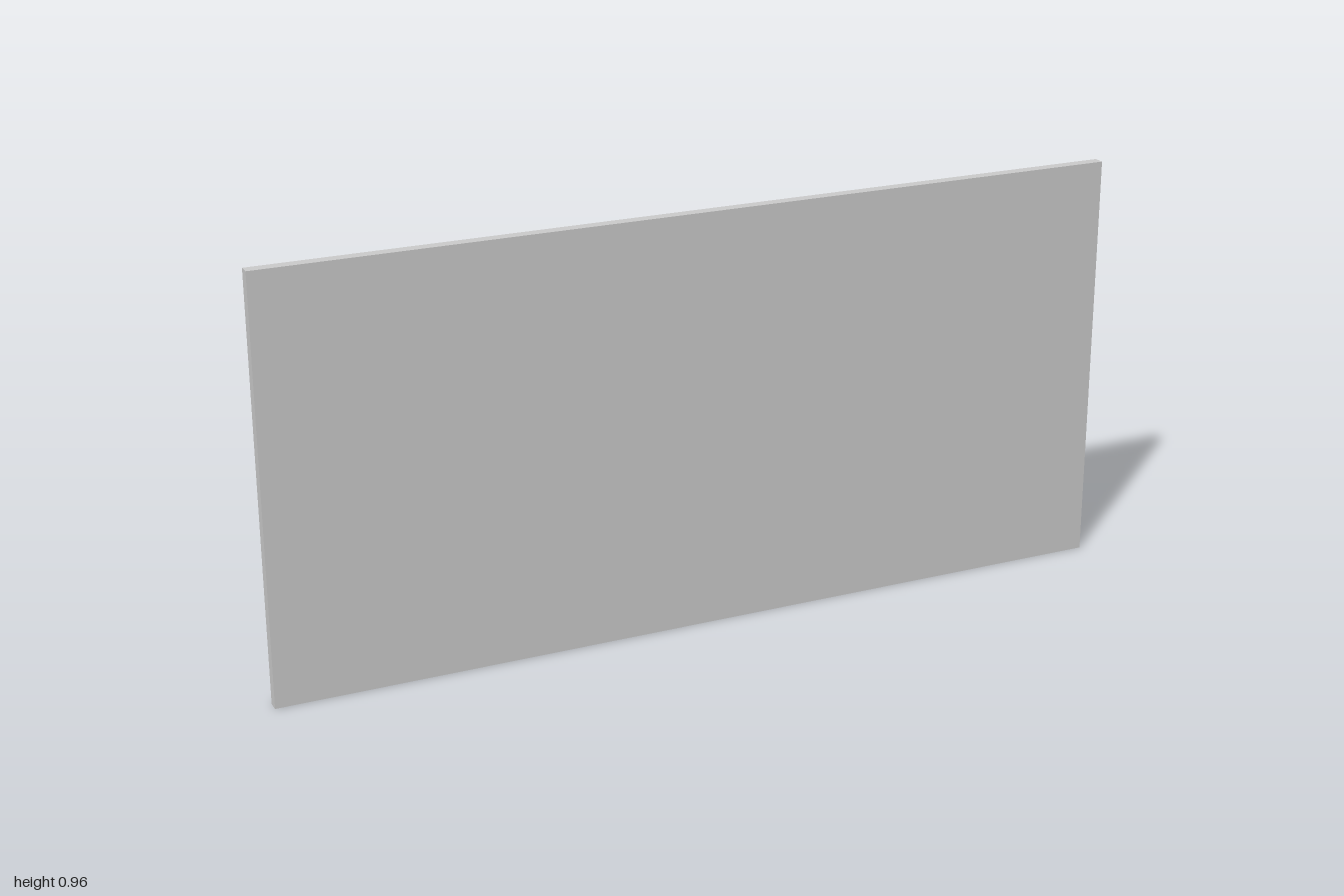
import * as THREE from 'three';

const mat = new THREE.MeshStandardMaterial({ color: 0xcccccc, flatShading: true });

const W = 2, H = 0.96;
const FRONT = 0.027, BACK = 0.001, POCKET = 0.012;
const FLOOR = BACK + POCKET; // z of the pocket floors

// Closed polygon from a list of [x, y] corners
const poly = (pts, Type = THREE.Shape) => new Type(pts.map(([x, y]) => new THREE.Vector2(x, y)));

// Rectangle with cut corners, given by its limits
function cutRect(x0, x1, y0, y1, c) {
  return [[x0 + c, y0], [x1 - c, y0], [x1, y0 + c], [x1, y1 - c],
    [x1 - c, y1], [x0 + c, y1], [x0, y1 - c], [x0, y0 + c]];
}

function extrude(name, shape, depth, z) {
  const geo = new THREE.ExtrudeGeometry(shape, { depth, bevelEnabled: false });
  const mesh = new THREE.Mesh(geo, mat);
  mesh.name = name;
  mesh.position.z = z;
  return mesh;
}

function box(name, w, h, d, x, y, z) {
  const mesh = new THREE.Mesh(new THREE.BoxGeometry(w, h, d), mat);
  mesh.name = name;
  mesh.position.set(x, y, z);
  return mesh;
}

// Clip: overhanging cap and drop leg, stiffened by a thinner web
function makeClip(x, top) {
  const clip = new THREE.Group();
  clip.name = 'clip';
  const w = 0.032, h = 0.063, out = 0.027;
  // profile: first coordinate is distance behind the panel, second is height
  const profile = poly([
    [-0.004, 0], [out - 0.004, 0], [out, -0.005], [out, -h + 0.003], [out - 0.003, -h],
    [0.018, -h], [0.018, -0.015], [-0.004, -0.015],
  ].reverse());
  const hook = extrude('clipHook', profile, w, 0);
  hook.geometry.translate(0, 0, -w / 2);
  hook.rotation.y = Math.PI / 2;
  const web = box('clipWeb', 0.013, h - 0.012, 0.022, 0, -0.012 - (h - 0.012) / 2, -0.008);
  clip.add(hook, web);
  clip.position.set(x, top, 0);
  return clip;
}

export function createModel() {
  const model = new THREE.Group();
  model.name = 'wallPanel';

  // Flat front sheet
  model.add(box('frontSheet', W, H, FRONT - FLOOR, 0, H / 2, (FRONT + FLOOR) / 2));

  // Back frame with three corner-cut pockets
  const frame = poly([[-1, 0], [1, 0], [1, H], [-1, H]]);
  for (const [x0, x1] of [[-0.92, -0.455], [-0.37, 0.37], [0.455, 0.92]])
    frame.holes.push(poly(cutRect(x0, x1, 0.045, 0.92, 0.04), THREE.Path));
  model.add(extrude('backFrame', frame, POCKET, BACK));

  // Hanger plates with keyhole slots in the outer pockets
  for (const side of [-1, 1]) {
    const plate = poly(cutRect(-0.055, 0.055, -0.088, 0.088, 0.035));
    plate.holes.push(poly([
      [-0.024, -0.048], [0.024, -0.048], [0.024, 0], [0.014, 0],
      [0.014, 0.048], [-0.014, 0.048], [-0.014, 0], [-0.024, 0],
    ], THREE.Path));
    const hanger = extrude('hangerPlate', plate, 0.009, FLOOR - 0.009);
    hanger.position.x = side * 0.6;
    hanger.position.y = 0.815;
    model.add(hanger);
  }

  // Four columns of three clips
  for (const x of [-0.957, -0.412, 0.412, 0.957])
    for (const top of [0.888, 0.489, 0.089]) model.add(makeClip(x, top));

  return model;
}
